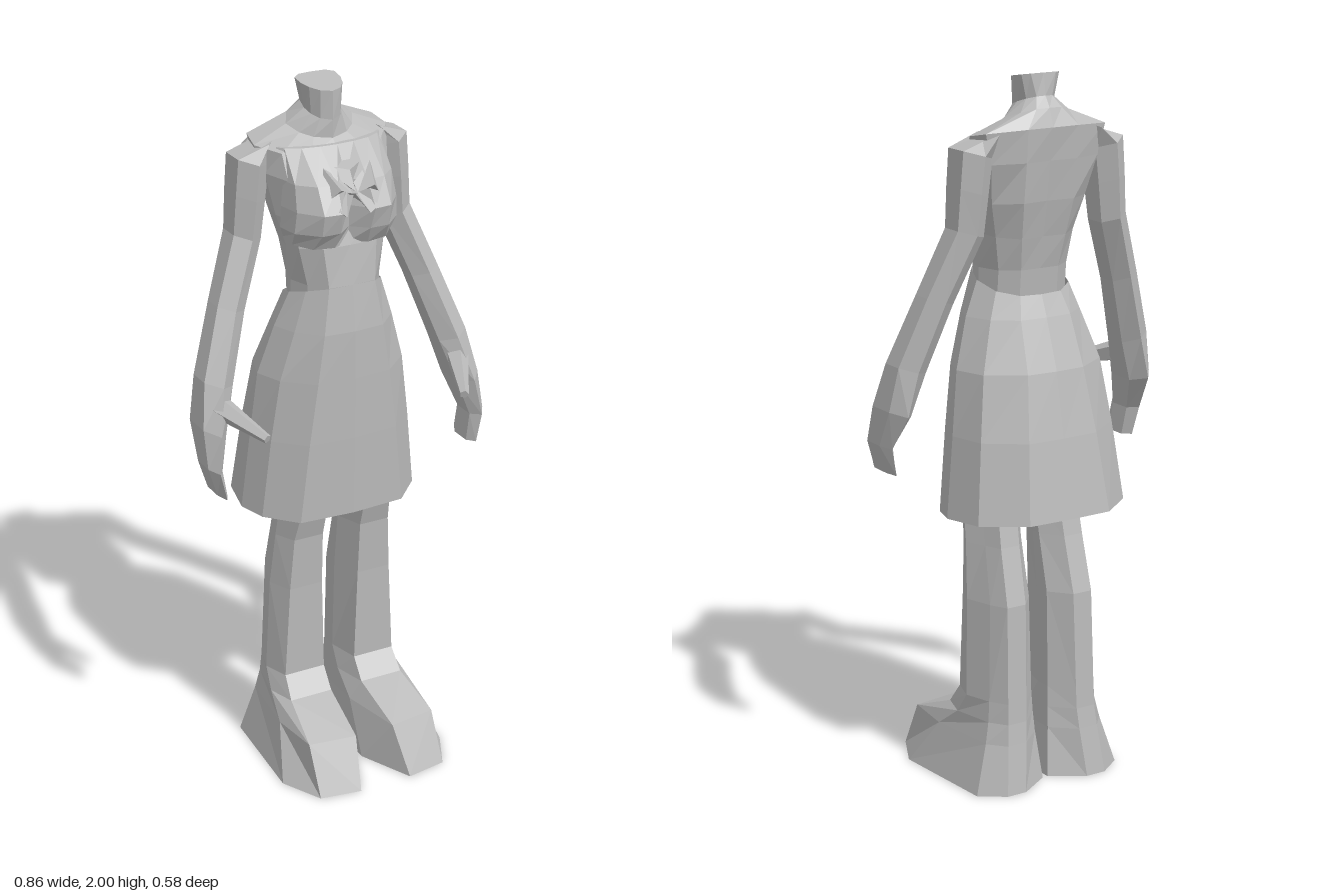
import * as THREE from 'three';

const grey = new THREE.MeshStandardMaterial({ color: 0xbababa, flatShading: true, side: THREE.DoubleSide });
grey.name = 'plain grey';

// Skin a list of equal-length point loops; optionally cap each end.
function loft(name, rings, capStart = true, capEnd = true) {
  const n = rings[0].length, pos = [], idx = [];
  rings.forEach(r => r.forEach(p => pos.push(...p)));
  for (let i = 0; i < rings.length - 1; i++) {
    for (let j = 0; j < n; j++) {
      const a = i * n + j, b = i * n + (j + 1) % n;
      idx.push(a, b, b + n, a, b + n, a + n);
    }
  }
  const cap = (ring, start, flip) => {
    const c = [0, 1, 2].map(k => ring.reduce((s, p) => s + p[k], 0) / n);
    const m = pos.length / 3;
    pos.push(...c);
    for (let j = 0; j < n; j++) {
      const a = start + j, b = start + (j + 1) % n;
      flip ? idx.push(m, b, a) : idx.push(m, a, b);
    }
  };
  if (capStart) cap(rings[0], 0, true);
  if (capEnd) cap(rings[rings.length - 1], (rings.length - 1) * n, false);
  const indexed = new THREE.BufferGeometry();
  indexed.setAttribute('position', new THREE.Float32BufferAttribute(pos, 3));
  indexed.setIndex(idx);
  const g = indexed.toNonIndexed();
  g.computeVertexNormals();
  const mesh = new THREE.Mesh(g, grey);
  mesh.name = name;
  return mesh;
}

// Symmetric loop from half a section [x, z], front centre to back centre.
function sym(yFront, yBack, half) {
  const z0 = half[0][1], z1 = half[half.length - 1][1];
  const right = half.slice(1, -1).reverse().map(([x, z]) => [-x, z]);
  return [...half, ...right].map(([x, z]) =>
    [x, yFront + (yBack - yFront) * (z0 - z) / (z0 - z1), z]);
}

// Six-sided limb loop, tilted so that its outer side sits higher.
function limb([cx, cy, cz, rx, rz, tilt = 0.3]) {
  return Array.from({ length: 6 }, (_, i) => {
    const a = i * Math.PI / 3, dx = Math.sin(a) * rx / 0.866;
    return [cx + dx, cy + dx * tilt, cz + Math.cos(a) * rz];
  });
}

function arm() {
  const g = new THREE.Group();
  g.add(loft('armAndHand', [
    [0.165, 1.845, -0.13, 0.03, 0.055, -0.4], [0.21, 1.8, -0.12, 0.045, 0.075],
    [0.22, 1.7, -0.12, 0.043, 0.072], [0.23, 1.59, -0.12, 0.04, 0.065],
    [0.3, 1.41, -0.08, 0.04, 0.06], [0.365, 1.22, -0.035, 0.042, 0.068],
    [0.395, 1.1, -0.01, 0.034, 0.088], [0.41, 1.0, 0.03, 0.021, 0.066],
    [0.392, 0.92, 0.035, 0.015, 0.062],
  ].map(limb)));
  // Thumb reaching forward and inward
  const a = new THREE.Vector3(0.375, 1.165, 0.005), b = new THREE.Vector3(0.305, 1.115, 0.17);
  const d = b.clone().sub(a);
  const thumb = new THREE.Mesh(new THREE.CylinderGeometry(0.013, 0.035, d.length(), 5), grey);
  thumb.name = 'thumb';
  thumb.position.copy(a).add(b).multiplyScalar(0.5);
  thumb.quaternion.setFromUnitVectors(new THREE.Vector3(0, 1, 0), d.normalize());
  g.add(thumb);
  return g;
}

// Leg flowing into a blunt wedge foot; every loop runs front inner to inner front.
function leg() {
  const ring = (y, zf, zb, xi, xo, fi, fo, side) => [
    [fi, y, zf], [fo, y, zf - (y < 0.2 ? 0.02 : 0)], [xo, y, side],
    [xo - 0.025, y, zb + 0.05], [(xi + xo) / 2 + 0.03, y, zb],
    [(xi + xo) / 2 - 0.03, y, zb], [xi, y, zb + 0.06], [xi, y, side - 0.02],
  ];
  return loft('legAndFoot', [
    ring(1.1, 0.05, -0.12, 0.015, 0.15, 0.05, 0.12, -0.02),
    ring(0.8, 0.05, -0.13, 0.027, 0.175, 0.06, 0.14, -0.02),
    ring(0.7, 0.02, -0.15, 0.03, 0.18, 0.06, 0.15, -0.04),
    ring(0.54, 0.01, -0.19, 0.03, 0.19, 0.058, 0.16, -0.06),
    ring(0.26, 0.005, -0.2, 0.028, 0.2, 0.05, 0.175, -0.07),
    ring(0.2, 0.05, -0.203, 0.025, 0.205, 0.05, 0.18, -0.03),
    ring(0.14, 0.22, -0.21, 0.022, 0.218, 0.06, 0.2, 0.05),
    ring(0, 0.29, -0.23, 0.008, 0.26, 0.08, 0.2, 0.15),
  ].reverse());
}

export function createModel() {
  const model = new THREE.Group();
  model.name = 'figure';

  // Flared skirt, open at the hem
  model.add(loft('skirt', [
    sym(0.785, 0.8, [[0, 0.09], [0.16, 0.08], [0.24, 0], [0.265, -0.08], [0.24, -0.2], [0.13, -0.288], [0, -0.292]]),
    sym(1.02, 1.02, [[0, 0.098], [0.135, 0.088], [0.215, 0.01], [0.24, -0.07], [0.215, -0.175], [0.11, -0.252], [0, -0.256]]),
    sym(1.2, 1.2, [[0, 0.1], [0.11, 0.092], [0.19, 0.02], [0.22, -0.06], [0.19, -0.15], [0.09, -0.215], [0, -0.22]]),
    sym(1.34, 1.34, [[0, 0.1], [0.09, 0.092], [0.15, 0.03], [0.177, -0.04], [0.145, -0.115], [0.08, -0.165], [0, -0.17]]),
    sym(1.47, 1.4, [[0, 0.085], [0.07, 0.08], [0.115, 0.03], [0.135, -0.03], [0.118, -0.1], [0.065, -0.14], [0, -0.145]]),
  ], false, false));

  // Torso, shoulders and neck
  model.add(loft('torsoAndNeck', [
    sym(1.36, 1.36, [[0, 0.08], [0.07, 0.075], [0.11, 0.03], [0.13, -0.03], [0.11, -0.09], [0.06, -0.125], [0, -0.125]]),
    sym(1.47, 1.47, [[0, 0.085], [0.07, 0.08], [0.11, 0.03], [0.13, -0.03], [0.11, -0.1], [0.06, -0.135], [0, -0.135]]),
    sym(1.58, 1.56, [[0, 0.07], [0.08, 0.068], [0.13, 0.02], [0.143, -0.03], [0.125, -0.11], [0.07, -0.155], [0, -0.15]]),
    sym(1.65, 1.66, [[0, 0.05], [0.08, 0.05], [0.14, 0.01], [0.163, -0.05], [0.15, -0.13], [0.08, -0.18], [0, -0.17]]),
    sym(1.76, 1.77, [[0, 0.04], [0.09, 0.035], [0.15, 0], [0.18, -0.08], [0.17, -0.16], [0.08, -0.193], [0, -0.185]]),
    sym(1.82, 1.86, [[0, 0.005], [0.08, 0], [0.15, -0.035], [0.2, -0.1], [0.19, -0.165], [0.08, -0.2], [0, -0.198]]),
    sym(1.85, 1.91, [[0, -0.03], [0.05, -0.045], [0.08, -0.07], [0.1, -0.11], [0.075, -0.155], [0.04, -0.178], [0, -0.18]]),
    sym(1.9, 1.94, [[0, -0.03], [0.03, -0.045], [0.045, -0.07], [0.05, -0.1], [0.045, -0.135], [0.025, -0.155], [0, -0.16]]),
    sym(1.98, 2, [[0, -0.03], [0.03, -0.042], [0.05, -0.07], [0.06, -0.1], [0.06, -0.135], [0.04, -0.15], [0, -0.152]]),
  ]));

  // Bust
  model.add(loft('bust', [
    sym(1.585, 1.6, [[0, 0.055], [0.05, 0.075], [0.11, 0.065], [0.15, 0.02], [0.152, -0.03], [0, -0.04]]),
    sym(1.63, 1.63, [[0, 0.06], [0.045, 0.1], [0.1, 0.1], [0.155, 0.045], [0.165, -0.02], [0, -0.04]]),
    sym(1.69, 1.69, [[0, 0.06], [0.05, 0.118], [0.1, 0.113], [0.15, 0.05], [0.162, -0.02], [0, -0.04]]),
    sym(1.76, 1.76, [[0, 0.045], [0.045, 0.082], [0.1, 0.073], [0.145, 0.03], [0.155, -0.02], [0, -0.04]]),
    sym(1.84, 1.84, [[0, -0.005], [0.05, -0.008], [0.1, -0.018], [0.14, -0.04], [0.155, -0.06], [0, -0.07]]),
  ]));

  // Bow: faceted loops and tails around a small knot
  const bowLoop = () => loft('bowLoop', [
    [[0.008, 1.755, 0.07], [0.008, 1.73, 0.06], [0.008, 1.735, 0.095]],
    [[0.07, 1.8, 0.045], [0.087, 1.71, 0.08], [0.05, 1.755, 0.112]],
  ]);
  const bowTail = () => loft('bowTail', [
    [[0, 1.735, 0.09], [0, 1.725, 0.06], [0.012, 1.735, 0.07]],
    [[0.035, 1.68, 0.118], [0.04, 1.68, 0.08], [0.06, 1.7, 0.118]],
  ]);
  const bowTop = loft('bowTop', [
    [[0, 1.74, 0.098], [-0.012, 1.74, 0.06], [0.012, 1.74, 0.06]],
    [[0, 1.79, 0.065], [-0.07, 1.802, 0.02], [0.07, 1.802, 0.02]],
  ]);
  const knot = new THREE.Mesh(new THREE.OctahedronGeometry(0.018), grey);
  knot.name = 'bowKnot';
  knot.position.set(0, 1.735, 0.085);
  model.add(bowTop, knot);

  // Paired parts, mirrored across the centre
  for (const s of [1, -1]) {
    const side = new THREE.Group();
    side.name = s > 0 ? 'leftSide' : 'rightSide';
    side.add(arm(), leg(), bowLoop(), bowTail());
    side.scale.x = s;
    model.add(side);
  }
  return model;
}
